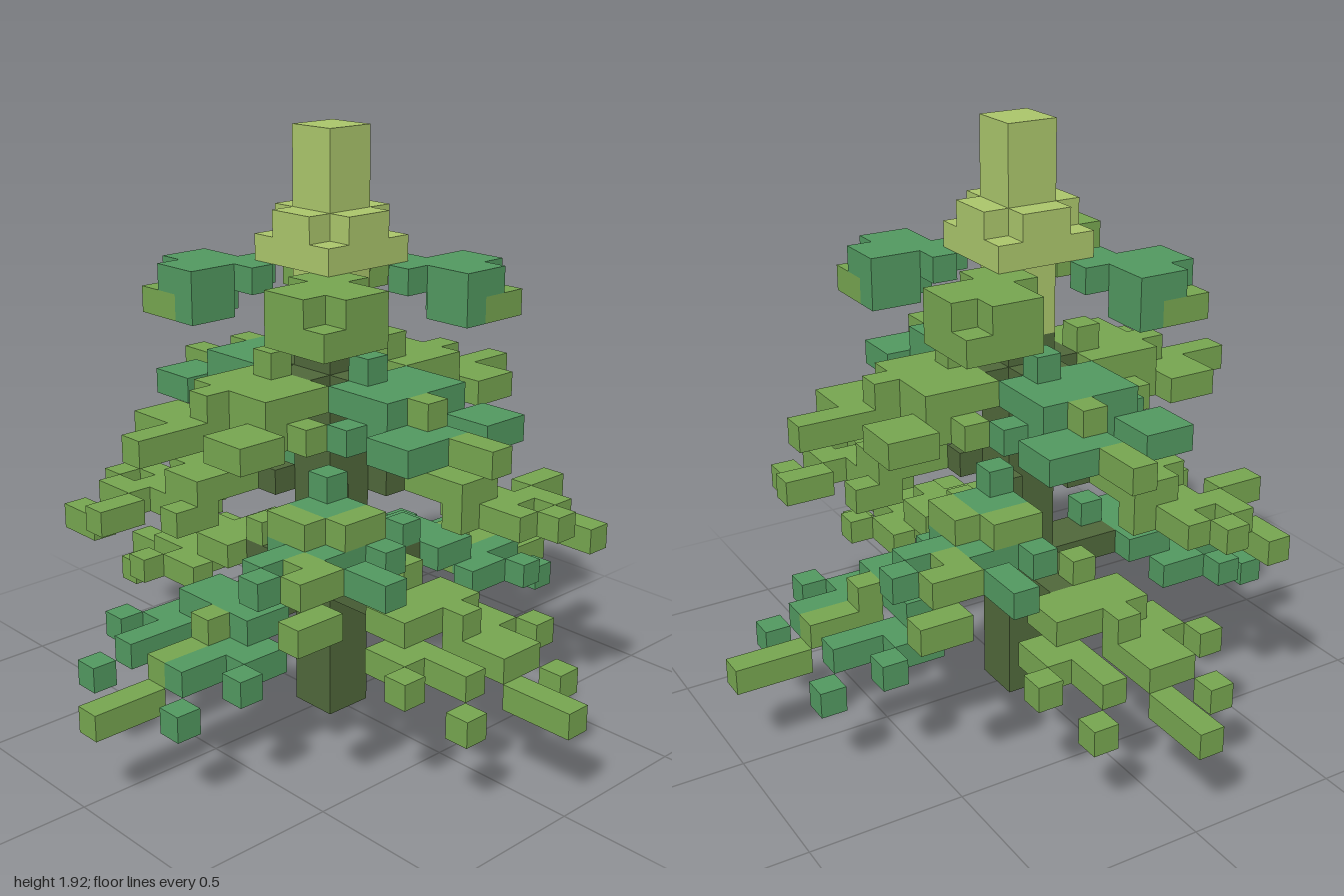
import * as THREE from 'three';

const U = 1 / 12; // one block

const mat = (name, color) => {
  const m = new THREE.MeshStandardMaterial({ color });
  m.name = name;
  return m;
};

// Box from its lowest corner and size, counted in blocks
function block(parent, name, material, [x, y, z, w, h, d]) {
  const mesh = new THREE.Mesh(new THREE.BoxGeometry(w * U, h * U, d * U), material);
  mesh.position.set((x + w / 2) * U, (y + h / 2) * U, (z + d / 2) * U);
  mesh.name = name;
  parent.add(mesh);
}

// Each branch lists boxes [across, y, outward, size...] for its stem, leaves and tips
const lowBranch = {
  stem: [[-1, 5, 1, 2, 1, 3]],
  leaf: [
    [0, 6, 3, 1, 1, 1],
    [-2, 5, 4, 4, 1, 2],
    [-2, 4, 6, 1, 1, 3], [1, 4, 6, 1, 1, 3],
    [-3, 4, 5, 1, 1, 2], [2, 4, 5, 1, 1, 2],
    [-4, 4, 7, 1, 1, 1], [3, 4, 7, 1, 1, 1],
    [-3, 3, 9, 1, 1, 1], [2, 3, 9, 1, 1, 1],
  ],
  tip: [[0, 5, 6, 1, 1, 1], [0, 4, 6, 1, 1, 3], [0, 3, 9, 1, 1, 3]],
};

const lowDiagonal = {
  stem: [[1, 9, 1, 1, 1, 1]],
  leaf: [
    [2, 10, 2, 1, 1, 1],
    [2, 9, 2, 2, 1, 2],
    [3, 8, 3, 2, 1, 2],
    [2, 8, 4, 1, 1, 1], [4, 8, 2, 2, 1, 1],
    [3, 8, 5, 1, 1, 2], [4, 8, 7, 1, 1, 1],
    [6, 8, 4, 2, 1, 1],
  ],
  tip: [
    [4, 9, 2, 1, 1, 2], [2, 9, 4, 2, 1, 1],
    [4, 8, 5, 2, 1, 1], [5, 8, 6, 1, 1, 1],
    [6, 7, 6, 1, 1, 2],
  ],
};

const highBranch = {
  stem: [[-1, 13, 1, 2, 1, 1]],
  leaf: [
    [0, 14, 2, 1, 1, 1],
    [-2, 13, 2, 4, 1, 3],
    [-2, 12, 4, 4, 1, 1],
    [-2, 12, 5, 1, 1, 2], [0, 12, 5, 2, 1, 2],
    [-3, 12, 3, 1, 1, 1], [2, 12, 3, 1, 1, 1],
    [-3, 12, 5, 1, 1, 2], [2, 12, 5, 1, 1, 2],
  ],
  tip: [[0, 13, 5, 1, 1, 1], [0, 12, 7, 1, 1, 2]],
};

const highDiagonal = {
  stem: [],
  leaf: [
    [2, 17, 2, 2, 1, 2],
    [1, 17, 2, 1, 1, 1], [2, 17, 1, 1, 1, 1],
    [4, 17, 2, 1, 1, 2], [2, 17, 4, 2, 1, 1],
    [2, 16, 3, 1, 1, 2], [3, 16, 2, 2, 1, 1],
  ],
  tip: [[3, 16, 3, 2, 1, 2]],
};

export function createModel() {
  const root = new THREE.Group();
  root.name = 'blockTree';

  const bark = mat('dark bark', 0x4f673a);
  const green = mat('leaf green', 0x75a44f);
  const teal = mat('blue green', 0x51975f);
  const light = mat('light green', 0xa9c46a);

  // Trunk and pale crown
  block(root, 'trunk', bark, [-1, 0, -1, 2, 15, 2]);
  block(root, 'crownSpire', light, [-1, 15, -1, 2, 8, 2]);
  const collar = new THREE.Group();
  collar.name = 'crownCollar';
  root.add(collar);
  for (const s of [-2, 1]) {
    block(collar, 'collarSide', light, [s, 18, -2, 1, 1, 4]);
    block(collar, 'collarEdge', light, [-1, 18, s, 2, 1, 1]);
    block(collar, 'collarStep', light, [s, 19, -1, 1, 1, 2]);
    block(collar, 'collarLedge', light, [-1, 19, s, 2, 1, 1]);
  }

  // Places a branch: optional axis swap, then mirroring in x and z
  function branch(name, shape, leafMat, { swap = false, sx = 1, sz = 1 }) {
    const g = new THREE.Group();
    g.name = name;
    const mats = { stem: bark, leaf: leafMat, tip: green };
    for (const part of Object.keys(mats)) {
      for (let [x, y, z, w, h, d] of shape[part]) {
        if (swap) [x, z, w, d] = [z, x, d, w];
        if (sx < 0) x = -(x + w);
        if (sz < 0) z = -(z + d);
        block(g, part, mats[part], [x, y, z, w, h, d]);
      }
    }
    root.add(g);
  }

  for (const s of [1, -1]) {
    // Tiers along the axes
    branch('lowBranchLength', lowBranch, green, { sx: s, sz: s });
    branch('lowBranchSide', lowBranch, teal, { swap: true, sx: s });
    branch('highBranchLength', highBranch, teal, { sx: -s, sz: s });
    branch('highBranchSide', highBranch, green, { swap: true, sx: s, sz: s });
    // Tiers along the diagonals, each a quarter turn from the next
    branch('lowDiagonalA', lowDiagonal, green, { sx: s, sz: s });
    branch('lowDiagonalB', lowDiagonal, teal, { swap: true, sx: s, sz: -s });
    branch('highDiagonalA', highDiagonal, teal, { sx: s, sz: s });
    branch('highDiagonalB', highDiagonal, green, { swap: true, sx: s, sz: -s });
  }
  return root;
}
